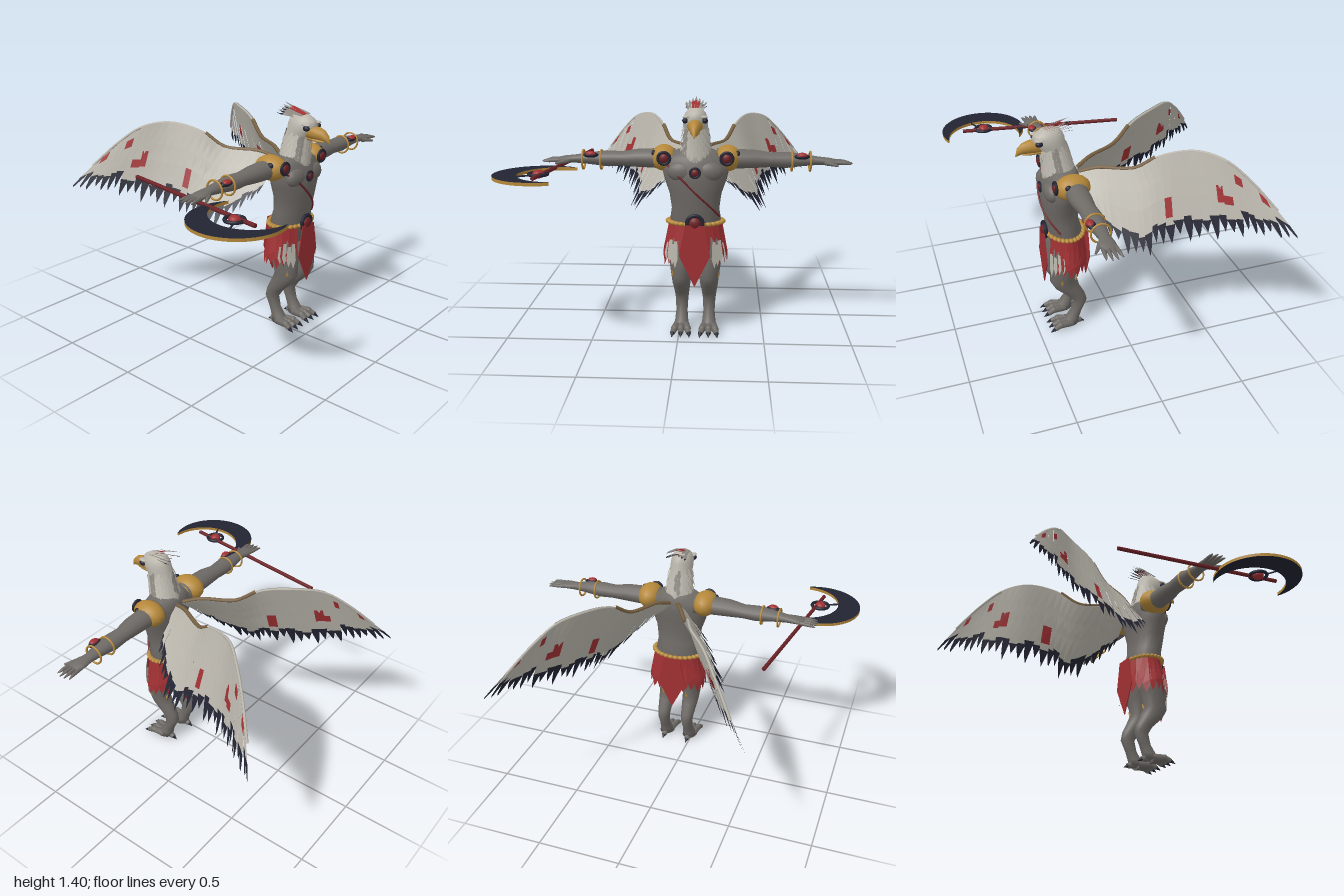
import * as THREE from 'three';

const V = (x, y, z) => new THREE.Vector3(x, y, z);
const CX = 0.095; // the body's middle plane

const paint = (name, color, side = THREE.FrontSide) => {
  const m = new THREE.MeshStandardMaterial({ color, side });
  m.name = name;
  return m;
};

export function createModel() {
  const D = THREE.DoubleSide;
  const M = {
    skin: paint('greySkin', 0x6e6a66),
    pale: paint('paleFeather', 0xbab6ac, D),
    shade: paint('shadedFeather', 0x8b8780, D),
    dark: paint('darkBlue', 0x232432, D),
    red: paint('redCloth', 0xa03033, D),
    wine: paint('wineRed', 0x6c2226),
    gold: paint('gold', 0xb5883a),
    brown: paint('brown', 0x7a6344),
  };
  const model = new THREE.Group();
  const body = new THREE.Group();
  body.name = 'body';
  body.position.x = CX;
  model.add(body);

  const add = (name, geo, mat, parent = body) => {
    const m = new THREE.Mesh(geo, mat);
    m.name = name;
    parent.add(m);
    return m;
  };
  // Skin over elliptical rings; rows [x, y, z, a, b] ascend along the axis
  // (axis 0: a=z b=y, axis 1: a=x b=z, axis 2: a=y b=x)
  const loft = (name, rows, axis, mat, n = 14) => {
    const pos = [], idx = [], k1 = (axis + 1) % 3, k2 = (axis + 2) % 3;
    const full = [[...rows[0].slice(0, 3), 0, 0], ...rows, [...rows.at(-1).slice(0, 3), 0, 0]];
    full.forEach((r, i) => {
      for (let j = 0; j < n; j++) {
        const p = r.slice(0, 3), t = (j / n) * Math.PI * 2;
        p[k2] += r[3] * Math.cos(t);
        p[k1] += r[4] * Math.sin(t);
        pos.push(...p);
        if (i < full.length - 1) {
          const a = i * n + j, b = i * n + (j + 1) % n;
          idx.push(a, a + n, b, b, a + n, b + n);
        }
      }
    });
    const g = new THREE.BufferGeometry();
    g.setAttribute('position', new THREE.Float32BufferAttribute(pos, 3));
    g.setIndex(idx);
    g.computeVertexNormals();
    return add(name, g, mat);
  };
  const rod = (name, a, b, ra, rb, mat, parent = body) => {
    const m = add(name, new THREE.CylinderGeometry(rb, ra, a.distanceTo(b), 8), mat, parent);
    m.position.copy(a).lerp(b, 0.5);
    m.quaternion.setFromUnitVectors(V(0, 1, 0), b.clone().sub(a).normalize());
  };
  const ball = (name, p, s, mat, parent = body) => {
    const m = add(name, new THREE.SphereGeometry(1, 16, 12), mat, parent);
    m.position.copy(p);
    m.scale.set(...s);
  };
  const ring = (name, p, r, tube, mat, parent = body) => {
    const m = add(name, new THREE.TorusGeometry(r, tube, 8, 24), mat, parent);
    m.position.copy(p);
    return m;
  };
  // Collects flat pieces by colour, then makes one mesh for each colour
  const sheets = () => {
    const tris = {};
    const tri = (key, ...pts) => pts.forEach(p => (tris[key] ??= []).push(p.x, p.y, p.z));
    const quad = (key, a, b, c, d) => tri(key, a, b, c, a, c, d);
    const plume = (key, a, b, w, tipKey = key) => { // w is the half-width vector
      const m = a.clone().lerp(b, 0.65), o = w.clone().multiplyScalar(0.6);
      quad(key, a.clone().sub(o), a.clone().add(o), m.clone().add(w), m.clone().sub(w));
      tri(tipKey, m.clone().sub(w), m.clone().add(w), b);
    };
    const build = (name) => Object.entries(tris).forEach(([key, pos]) => {
      const g = new THREE.BufferGeometry();
      g.setAttribute('position', new THREE.Float32BufferAttribute(pos, 3));
      g.computeVertexNormals();
      add(name + '_' + key, g, M[key]);
    });
    return { tri, quad, plume, build };
  };

  // Torso and neck: [y, z, half width, half depth]
  const stack = (rows) => rows.map(([y, z, a, b]) => [0, y, z, a, b]);
  loft('torso', stack([[0.56, 0.29, 0.12, 0.085], [0.68, 0.295, 0.15, 0.105], [0.76, 0.31, 0.138, 0.1],
    [0.85, 0.32, 0.15, 0.105], [0.93, 0.32, 0.178, 0.112], [1.0, 0.315, 0.195, 0.115],
    [1.06, 0.305, 0.18, 0.1], [1.1, 0.305, 0.11, 0.08]]), 1, M.skin, 20);
  loft('headAndNeck', stack([[1.0, 0.31, 0.1, 0.1], [1.08, 0.315, 0.088, 0.1], [1.15, 0.32, 0.073, 0.082],
    [1.2, 0.33, 0.067, 0.078], [1.25, 0.36, 0.07, 0.09], [1.287, 0.37, 0.068, 0.095],
    [1.318, 0.37, 0.057, 0.082], [1.344, 0.36, 0.034, 0.052]]), 1, M.pale, 16);

  // Overlapping neck feathers and the swept-back crest
  const plumage = sheets();
  for (let r = 0; r < 8; r++) for (let j = 0; j < 14; j++) {
    const t = ((j + (r % 2) / 2) / 14) * Math.PI * 2, y = 1.25 - r * 0.025;
    const f = r / 7, z = 0.345 - 0.03 * f, c = Math.cos(t), s = Math.sin(t);
    plumage.plume((r * 5 + j * 3) % 5 ? 'pale' : 'shade',
      V(c * (0.066 + 0.018 * f), y, z + s * (0.082 + 0.012 * f)),
      V(c * (0.084 + 0.022 * f), y - 0.055, z - 0.008 + s * (0.09 + 0.017 * f)), V(-s * 0.012, 0, c * 0.012));
  }
  for (let i = -3; i <= 3; i++) for (const k of [0, 1]) {
    plumage.plume(Math.abs(i) < 2 - k ? 'red' : 'shade', V(i * 0.013, 1.343 - k * 0.012, 0.39 - k * 0.06),
      V(i * 0.02, 1.4 - Math.abs(i) * 0.011 - k * 0.025, 0.235 - k * 0.01), V(0.008, 0.003, 0), k ? 'dark' : 'shade');
  }
  plumage.build('plumage');

  // Hooked beak
  loft('upperBeak', [[0, 1.25, 0.42, 0.04, 0.045], [0, 1.25, 0.48, 0.038, 0.037], [0, 1.243, 0.52, 0.032, 0.027],
    [0, 1.225, 0.55, 0.022, 0.014], [0, 1.2, 0.562, 0.004, 0.003]], 2, M.gold, 12);
  loft('lowerBeak', [[0, 1.215, 0.42, 0.014, 0.03], [0, 1.207, 0.48, 0.01, 0.018], [0, 1.205, 0.52, 0.003, 0.005]], 2, M.gold, 10);

  // Chest gem, strap, belt and buckle
  const gem = (name, p, r) => {
    ball(name + 'Gem', p, [r * 0.8, r * 0.8, r * 0.5], M.wine);
    ring(name + 'Rim', p, r, r * 0.26, M.dark);
  };
  gem('chest', V(0, 0.985, 0.43), 0.027);
  gem('buckle', V(0, 0.69, 0.415), 0.045);
  const strap = new THREE.CatmullRomCurve3([V(-0.17, 1.03, 0.37), V(-0.1, 0.97, 0.418), V(0, 0.87, 0.43),
    V(0.08, 0.79, 0.4), V(0.14, 0.72, 0.35)]);
  add('strap', new THREE.TubeGeometry(strap, 20, 0.006, 6), M.wine);
  for (let i = 0; i < 30; i++) {
    const t = (i / 30) * Math.PI * 2;
    ball('beltBead', V(Math.cos(t) * 0.157, 0.68, 0.295 + Math.sin(t) * 0.112), [0.019, 0.013, 0.014], M.gold);
  }

  // Ragged skirt, open at the front, with pale hip feathers
  const skirt = sheets();
  for (let i = 0; i < 18; i++) {
    const t = Math.PI / 2 + 0.42 + ((i + 0.5) / 18) * (Math.PI * 2 - 0.84), h = 0.19;
    const at = (u, y, a, b) => V(Math.cos(u) * a, y, 0.29 + Math.sin(u) * b);
    const low = 0.505 - (i % 3) * 0.012;
    const l = at(t - h, low + 0.03, 0.186, 0.125), r = at(t + h, low, 0.19, 0.128);
    skirt.quad('red', at(t - h, 0.675, 0.152, 0.107), at(t + h, 0.675, 0.156, 0.11), r, l);
    skirt.quad('red', l, r, at(t + 0.06, low - 0.06, 0.19, 0.128), at(t - 0.1, low - 0.02, 0.188, 0.126));
  }
  for (const s of [-1, 1]) for (let i = 0; i < 4; i++) {
    skirt.plume('pale', V(s * (0.11 + i * 0.015), 0.58 - (i % 2) * 0.02, 0.405 - i * 0.02),
      V(s * (0.115 + i * 0.018), 0.42 + i * 0.012, 0.41 - i * 0.02), V(0.015, 0, -s * 0.008));
  }
  skirt.build('skirt');
  const cloth = new THREE.Shape([[-0.055, 0.68], [-0.09, 0.5], [0, 0.315], [0.09, 0.5], [0.055, 0.68]].map(p => new THREE.Vector2(...p)));
  const clothGeo = new THREE.ExtrudeGeometry(cloth, { depth: 0.006, bevelEnabled: false });
  add('frontCloth', clothGeo, M.red).position.z = 0.425;
  add('backCloth', clothGeo, M.red).position.z = 0.158;

  for (const s of [-1, 1]) {
    // Chest muscle, eye and shoulder guard
    ball('chestMuscle', V(s * 0.075, 0.985, 0.385), [0.085, 0.06, 0.045], M.skin);
    ball('eye', V(s * 0.055, 1.28, 0.435), [0.016, 0.016, 0.022], M.dark);
    ball('brow', V(s * 0.05, 1.3, 0.43), [0.02, 0.008, 0.03], M.pale);
    ball('shoulderGuard', V(s * 0.183, 1.05, 0.285), [0.078, 0.076, 0.103], M.gold);
    gem('shoulder', V(s * 0.178, 1.06, 0.385), 0.034);
    ball('guardStud', V(s * 0.25, 1.04, 0.27), [0.012, 0.03, 0.03], M.brown);
    ball('guardStud', V(s * 0.24, 1.08, 0.325), [0.014, 0.018, 0.02], M.dark);

    // Arm: [distance out, y, z, half depth, half height]
    const arm = [[0.12, 1.04, 0.285, 0.075, 0.065], [0.24, 1.045, 0.28, 0.066, 0.056], [0.34, 1.045, 0.28, 0.062, 0.052],
      [0.43, 1.04, 0.275, 0.05, 0.042], [0.52, 1.04, 0.275, 0.056, 0.046], [0.62, 1.04, 0.275, 0.042, 0.034],
      [0.7, 1.037, 0.275, 0.032, 0.024], [0.76, 1.035, 0.28, 0.046, 0.02], [0.81, 1.03, 0.28, 0.044, 0.015]];
    const rows = arm.map(([d, ...r]) => [s * d, ...r]);
    loft('arm', s > 0 ? rows : rows.reverse(), 0, M.skin);
    for (let i = -1.5; i <= 1.5; i++) {
      const mid = V(s * 0.85, 1.03, 0.28 + i * 0.026), tip = V(s * (0.9 - Math.abs(i) * 0.012), 1.025, 0.28 + i * 0.03);
      rod('finger', V(s * 0.79, 1.032, 0.28 + i * 0.022), mid, 0.012, 0.01, M.skin);
      rod('fingerTip', mid, tip, 0.01, 0.003, M.skin);
    }
    rod('thumb', V(s * 0.74, 1.03, 0.31), V(s * 0.805, 1.02, 0.355), 0.015, 0.006, M.skin);
    for (const d of [0.55, 0.655]) {
      ring('bracelet', V(s * d, 1.033, 0.277), 0.055, 0.006, M.gold).rotation.y = Math.PI / 2;
    }
    ball('braceletGem', V(s * 0.605, 1.073, 0.32), [0.031, 0.016, 0.022], M.red);
    ball('gemSetting', V(s * 0.605, 1.065, 0.315), [0.045, 0.016, 0.026], M.dark);

    // Leg with a backward hock
    const x = s * 0.082;
    loft('leg', [[x, 0.02, 0.3, 0.05, 0.06], [x, 0.055, 0.28, 0.04, 0.045], [x, 0.11, 0.252, 0.034, 0.036],
      [x, 0.18, 0.228, 0.038, 0.045], [x, 0.23, 0.25, 0.044, 0.055], [x, 0.3, 0.305, 0.053, 0.075],
      [x, 0.36, 0.335, 0.058, 0.078], [x, 0.46, 0.32, 0.073, 0.09], [x, 0.56, 0.3, 0.08, 0.092], [s * 0.07, 0.64, 0.295, 0.065, 0.085]], 1, M.skin);
    for (const [a, y] of [[-0.9, 0.37], [1.3, 0.36], [2.9, 0.35]]) {
      const p = V(x + Math.sin(a) * 0.054, y, 0.33 + Math.cos(a) * 0.072);
      rod('kneeSpike', p, V(p.x + Math.sin(a) * 0.012, y + 0.03, p.z + Math.cos(a) * 0.012), 0.01, 0.002, M.gold);
    }
    for (let i = -1; i <= 1; i++) {
      const k = V(x + i * 0.038, 0.035, 0.365), e = V(x + i * 0.048, 0.02, 0.405);
      rod('toe', V(x + i * 0.022, 0.03, 0.29), k, 0.026, 0.021, M.skin);
      ball('toeKnuckle', k, [0.021, 0.022, 0.024], M.skin);
      rod('toeEnd', k, e, 0.02, 0.015, M.skin);
      rod('claw', e, V(x + i * 0.052, 0.005, 0.435), 0.013, 0.001, M.dark);
    }
    rod('heelToe', V(x, 0.035, 0.28), V(x, 0.018, 0.225), 0.026, 0.016, M.skin);
    rod('heelClaw', V(x, 0.018, 0.225), V(x, 0.004, 0.2), 0.012, 0.001, M.dark);

    // Wing: feathers run from the leading edge to the lower edge
    const curve = (pts) => new THREE.CatmullRomCurve3(pts.map(([a, b, c]) => V(s * (a - CX), b, c)));
    const top = curve([[0.12, 1.05, 0.2], [0.17, 1.085, 0.1], [0.27, 1.1, -0.09], [0.33, 1.19, -0.22],
      [0.41, 1.23, -0.4], [0.52, 1.203, -0.53], [0.62, 1.108, -0.64], [0.74, 0.96, -0.76]]);
    const bottom = curve([[0.28, 0.89, 0.21], [0.38, 0.79, 0.12], [0.5, 0.68, -0.04], [0.51, 0.74, -0.2],
      [0.57, 0.77, -0.4], [0.66, 0.81, -0.57], [0.75, 0.83, -0.7], [0.855, 0.82, -0.86]]);
    const wing = sheets();
    // Red bands: feather number, from and to along its length
    const N = 28, redAt = { 12: [0.5, 0.74], 18: [0.38, 0.6], 19: [0.5, 0.62], 21: [0.14, 0.28], 25: [0.1, 0.3] };
    const at = (u, f, off) => {
      u = Math.min(1, Math.max(0, u));
      return top.getPoint(u).lerp(bottom.getPoint(u), f).add(V(s * 0.8, 0.3, 0.5).multiplyScalar(off));
    };
    for (let i = 0; i < N; i++) {
      const u0 = (i - 0.1) / N, u1 = (i + 1.1) / N, um = (i + 0.6) / N, off = (i % 2) * 0.005;
      const tip = 1.02 + 0.06 * Math.sin(i * 2.3);
      const cut = i > 25 ? 0.5 : 0.79 + 0.04 * Math.sin(i * 1.7) - (i > 20 ? 0.08 : 0);
      const strip = (key, f0, f1) => wing.quad(key, at(u0, f0, off), at(u1, f0, off), at(u1, f1, off), at(u0, f1, off));
      const [r0, r1] = redAt[i] ?? [0.5, 0.5];
      strip('pale', 0, r0);
      if (r1 > r0) strip('red', r0, r1);
      strip('pale', r1, cut);
      wing.quad('dark', at(u0, cut, off), at(u1, cut, off), at(um + 0.25 / N, tip - 0.09, off), at(um, tip, off));
      // Short covert feathers on both faces
      if (i < 20) for (const o of [-0.008, 0.013]) {
        wing.quad('pale', at(u0, 0, o), at(u1, 0, o), at(u1, 0.28, o), at(u0, 0.28, o));
        wing.tri('pale', at(u0, 0.28, o), at(u1, 0.28, o), at(um, 0.42, o));
      }
    }
    wing.build('wing');
    add('wingEdge', new THREE.TubeGeometry(top, 40, 0.008, 6), M.pale);
    const bone = new THREE.CatmullRomCurve3([0, 0.14, 0.28, 0.4].map(u => top.getPoint(u).add(V(0, 0.008, 0))));
    add('wingBone', new THREE.TubeGeometry(bone, 20, 0.012, 6), M.brown);
  }

  // Crescent-bladed staff held flat in the right hand
  const staff = new THREE.Group();
  staff.name = 'crescentStaff';
  model.add(staff);
  rod('shaft', V(-0.605, 1.0, -0.29), V(-0.755, 1.0, 0.725), 0.012, 0.012, M.wine, staff);
  const blade = new THREE.Shape();
  blade.absarc(-0.74, 0.595, 0.262, Math.atan2(0.235, 0.095), Math.atan2(-0.205, 0.165) + Math.PI * 2, false);
  blade.absarc(-0.64, 0.605, 0.225, Math.atan2(-0.215, 0.065) + Math.PI * 2, Math.atan2(0.225, -0.005), true);
  const bladeGeo = new THREE.ExtrudeGeometry(blade, { depth: 0.018, bevelEnabled: false, curveSegments: 32 });
  bladeGeo.rotateX(Math.PI / 2);
  add('crescentBlade', bladeGeo, [M.dark, M.gold], staff).position.y = 1.003;
  const hub = V(-0.755, 1.0, 0.59);
  ring('hubRing', hub, 0.051, 0.01, M.dark, staff).rotation.x = Math.PI / 2;
  ball('hubGem', hub, [0.033, 0.024, 0.033], M.red, staff);
  rod('bladeStrut', V(-0.795, 0.998, 0.62), V(-0.86, 0.996, 0.65), 0.005, 0.005, M.dark, staff);
  rod('bladeStrut', V(-0.86, 0.996, 0.65), V(-0.895, 0.995, 0.62), 0.005, 0.005, M.dark, staff);

  return model;
}
